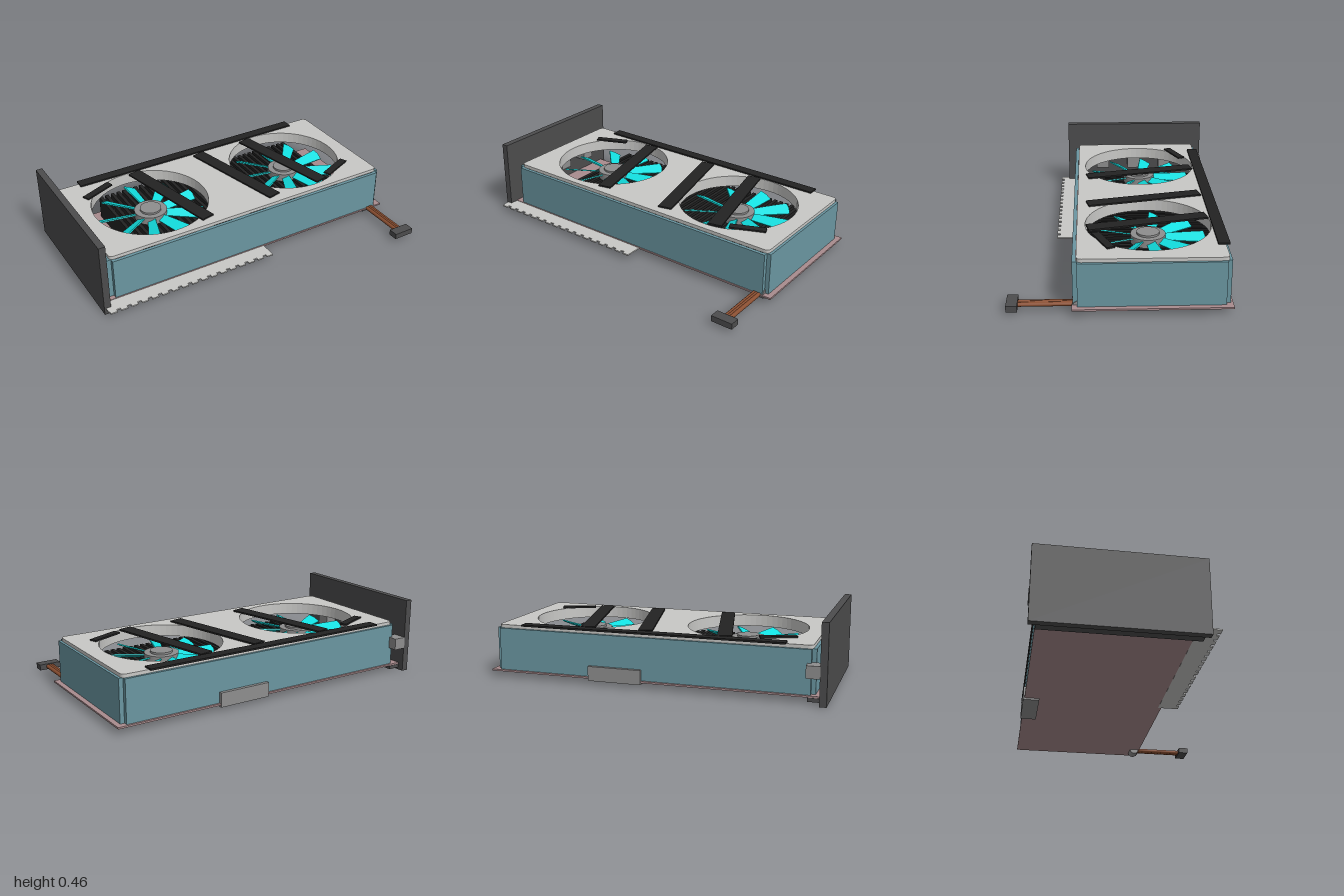
import * as THREE from 'three';

const mat = (name, color) => {
  const m = new THREE.MeshStandardMaterial({ color });
  m.name = name;
  return m;
};

export function createModel() {
  const root = new THREE.Group();
  root.name = 'graphicsCard';
  const blue = mat('shroud blue', 0x6a96a1);
  const silver = mat('light silver', 0xc8c8c6);
  const black = mat('matte black', 0x222222);
  const cyan = mat('blade cyan', 0x12dfe0);
  const grey = mat('mid grey', 0x8e8e8e);
  const steel = mat('bracket grey', 0x4c4c4d);
  const board = mat('board rose', 0xa98c8e);
  const copper = mat('cable brown', 0x8a4e30);

  const add = (name, geo, material, parent = root) => {
    const m = new THREE.Mesh(geo, material);
    m.name = name;
    parent.add(m);
    return m;
  };
  // Box given by its limits on each axis
  const box = (name, material, x0, x1, y0, y1, z0, z1) => {
    const m = add(name, new THREE.BoxGeometry(x1 - x0, y1 - y0, z1 - z0), material);
    m.position.set((x0 + x1) / 2, (y0 + y1) / 2, (z0 + z1) / 2);
    return m;
  };
  // Plan outline (x, -z) extruded upwards from y0 to y1
  const slab = (name, material, shape, y0, y1) => {
    const g = new THREE.ExtrudeGeometry(shape, { depth: y1 - y0, bevelEnabled: false, curveSegments: 32 });
    g.rotateX(-Math.PI / 2);
    g.translate(0, y0, 0);
    return add(name, g, material);
  };
  const circle = (x, z, r) => new THREE.Path().absarc(x, -z, r, 0, Math.PI * 2, true);

  // Circuit board
  box('circuitBoard', board, -0.96, 1, 0.035, 0.045, -0.58, 0.275);

  // Shroud walls with notched corners
  const notched = (x0, x1, z0, z1, n) => [
    [x0 + n, z0], [x1 - n, z0], [x1 - n, z0 + n], [x1, z0 + n], [x1, z1 - n], [x1 - n, z1 - n],
    [x1 - n, z1], [x0 + n, z1], [x0 + n, z1 - n], [x0, z1 - n], [x0, z0 + n], [x0 + n, z0 + n],
  ].map(([x, z]) => new THREE.Vector2(x, -z));
  const walls = new THREE.Shape(notched(-0.93, 0.97, -0.567, 0.27, 0.025));
  walls.holes.push(new THREE.Path(notched(-0.91, 0.95, -0.547, 0.25, 0.025)));
  slab('shroudWalls', blue, walls, 0.045, 0.295);

  // Top plate with two fan openings
  const fans = [[-0.465, -0.153], [0.507, -0.153]];
  const R = 0.355, c = 0.03, X0 = -0.912, X1 = 0.955, Y0 = -0.248, Y1 = 0.552;
  const plate = new THREE.Shape();
  plate.moveTo(X0 + c, Y0).lineTo(X1 - c, Y0).quadraticCurveTo(X1, Y0, X1, Y0 + c)
    .lineTo(X1, Y1 - c).quadraticCurveTo(X1, Y1, X1 - c, Y1)
    .lineTo(X0 + c, Y1).quadraticCurveTo(X0, Y1, X0, Y1 - c)
    .lineTo(X0, Y0 + c).quadraticCurveTo(X0, Y0, X0 + c, Y0);
  fans.forEach(([x, z]) => plate.holes.push(circle(x, z, R)));
  slab('topPlate', silver, plate, 0.294, 0.315);

  // Blade outline, narrow at the hub and wide at the tip
  const blade = new THREE.Shape([
    [0.085, -0.026], [0.2, -0.036], [0.315, -0.044], [0.325, 0.0], [0.318, 0.036], [0.2, 0.03], [0.085, 0.022],
  ].map(([x, y]) => new THREE.Vector2(x, y)));
  const bladeGeo = new THREE.ExtrudeGeometry(blade, { depth: 0.008, bevelEnabled: false });
  bladeGeo.rotateX(-Math.PI / 2);
  bladeGeo.rotateX(0.45);

  fans.forEach(([x, z], i) => {
    // Lip around the opening
    const lip = new THREE.Shape().absarc(x, -z, R + 0.012, 0, Math.PI * 2, false);
    lip.holes.push(circle(x, z, R));
    slab('fanLip', silver, lip, 0.245, 0.296);

    // Fan: hub, cap and nine blades
    const fan = new THREE.Group();
    fan.name = i ? 'leftFan' : 'rightFan';
    fan.position.set(x, 0.23, z);
    root.add(fan);
    add('hub', new THREE.CylinderGeometry(0.1, 0.1, 0.05, 40), grey, fan);
    add('hubCap', new THREE.CylinderGeometry(0.065, 0.065, 0.012, 40), grey, fan).position.y = 0.031;
    add('axle', new THREE.CylinderGeometry(0.03, 0.03, 0.15, 20), black, fan).position.y = -0.1;
    for (let k = 0; k < 9; k++) {
      add('blade', bladeGeo, cyan, fan).rotation.y = Math.PI / 2 + k * Math.PI * 2 / 9;
    }
  });

  // Heat sink: base, fins and heat pipes
  box('heatSinkBase', black, -0.645, 0.765, 0.045, 0.09, -0.53, 0.23);
  const fins = 36;
  for (let k = 0; k < fins; k++) {
    const x = -0.645 + k * (1.41 - 0.022) / (fins - 1);
    box('heatSinkFin', black, x, x + 0.022, 0.085, 0.19, -0.53, 0.23);
  }
  for (const z of [-0.39, 0.075]) {
    const pipe = add('heatPipe', new THREE.CylinderGeometry(0.022, 0.022, 1.4, 16), grey);
    pipe.rotation.z = Math.PI / 2;
    pipe.position.set(0.06, 0.14, z);
  }

  // Black trim bars on the top plate: centre x, z, length, width, turn
  box('backTrim', black, -0.765, 0.8, 0.314, 0.324, -0.575, -0.51);
  const long = -Math.PI / 2 + 0.226;
  [
    [-0.332, -0.152, 0.7, 0.083, long], [0.135, -0.152, 0.7, 0.083, long], [0.488, -0.152, 0.7, 0.083, long],
    [-0.695, -0.41, 0.21, 0.045, 0.4], [0.735, 0.105, 0.21, 0.045, 0.4],
  ].forEach(([x, z, l, w, turn]) => {
    const bar = add('trimBar', new THREE.BoxGeometry(l, 0.01, w), black);
    bar.position.set(x, 0.319, z);
    bar.rotation.y = turn;
  });

  // Mounting bracket with lower flange
  box('bracket', steel, -1, -0.96, 0, 0.455, -0.62, 0.325);
  box('bracketFlange', steel, -0.962, -0.89, 0.012, 0.034, -0.58, 0.3);

  // Display sockets behind the bracket
  for (const z of [-0.58, -0.36, -0.14, 0.08]) {
    box('displaySocket', grey, -0.962, -0.885, 0.15, 0.22, z - 0.042, z + 0.042);
  }

  // Edge connector with a row of contacts
  box('edgeConnector', silver, -0.99, 0.085, 0.034, 0.042, 0.255, 0.362);
  for (let k = 0; k < 17; k++) {
    const x = -0.985 + k * 0.0643;
    box('edgeContact', silver, x, x + 0.041, 0.034, 0.042, 0.36, 0.38);
  }

  // Clip wrapping the back edge of the board
  box('clipFace', grey, 0.055, 0.375, 0.025, 0.11, -0.588, -0.568);
  box('clipFoot', grey, 0.055, 0.375, 0.024, 0.036, -0.58, -0.49);

  // Power cable, its root and its plug
  const cableRoot = add('cableRoot', new THREE.CylinderGeometry(0.03, 0.03, 0.08, 24), grey);
  cableRoot.rotation.z = Math.PI / 2;
  cableRoot.position.set(0.91, 0.038, 0.24);
  for (let k = -1; k <= 1; k++) {
    const wire = add('cableWire', new THREE.CylinderGeometry(0.012, 0.012, 0.33, 12), copper);
    wire.rotation.x = Math.PI / 2;
    wire.position.set(0.91 + k * 0.014, 0.04, 0.415);
  }
  box('plug', steel, 0.845, 0.975, 0.022, 0.057, 0.56, 0.62);

  return root;
}
